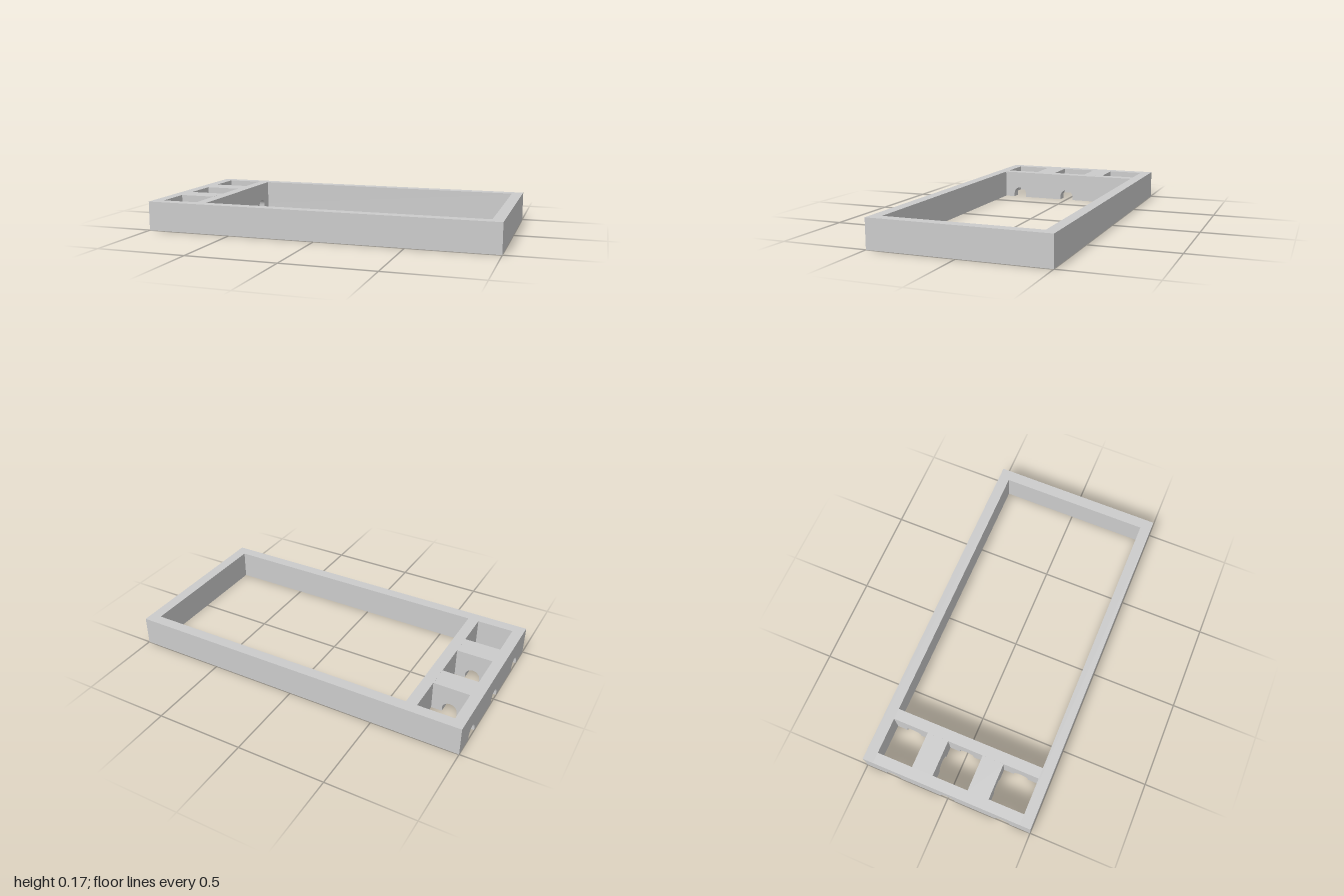
import * as THREE from 'three';

const HEIGHT = 0.167;
const WALL = 0.0625;
const NOTCH_R = 0.042; // arch radius
const NOTCH_Y = 0.021; // height of the arch centre

const material = new THREE.MeshStandardMaterial({ color: 0xcccccc });

// Upright wall along x, centred, with arched cable notches cut in its bottom edge
function wallGeometry(length, thickness, notches = []) {
  const shape = new THREE.Shape();
  shape.moveTo(-length / 2, 0);
  for (const u of notches) {
    shape.lineTo(u - NOTCH_R, 0);
    shape.lineTo(u - NOTCH_R, NOTCH_Y);
    shape.absarc(u, NOTCH_Y, NOTCH_R, Math.PI, 0, true);
    shape.lineTo(u + NOTCH_R, 0);
  }
  shape.lineTo(length / 2, 0);
  shape.lineTo(length / 2, HEIGHT);
  shape.lineTo(-length / 2, HEIGHT);
  shape.closePath();
  const geometry = new THREE.ExtrudeGeometry(shape, { depth: thickness, bevelEnabled: false, curveSegments: 20 });
  return geometry.translate(0, 0, -thickness / 2);
}

export function createModel() {
  const group = new THREE.Group();
  group.name = 'compartmentFrame';

  const add = (name, geometry, x, z, alongZ = false) => {
    const mesh = new THREE.Mesh(geometry, material);
    mesh.name = name;
    mesh.position.set(x, 0, z);
    if (alongZ) mesh.rotation.y = Math.PI / 2;
    group.add(mesh);
  };

  // Long rails, front and back
  const rail = wallGeometry(2, WALL);
  add('frontRail', rail, 0, 0.5 - WALL / 2);
  add('backRail', rail, 0, -0.5 + WALL / 2);

  // Plain end wall, then the notched end wall and divider around the pockets
  const span = 1 - 2 * WALL;
  const pocketCentres = [-0.333, 0, 0.333];
  const notchedWall = wallGeometry(span, WALL, pocketCentres);
  add('plainEndWall', wallGeometry(span, WALL), 1 - WALL / 2, 0, true);
  add('notchedEndWall', notchedWall, -1 + WALL / 2, 0, true);
  add('divider', notchedWall, -0.698, 0, true);

  // Thick cross bars separating the three square pockets
  const crossBar = wallGeometry(0.208, 0.125, [0]);
  for (const side of [-1, 1]) add('pocketCrossBar', crossBar, -0.8335, side * 0.167);

  return group;
}
